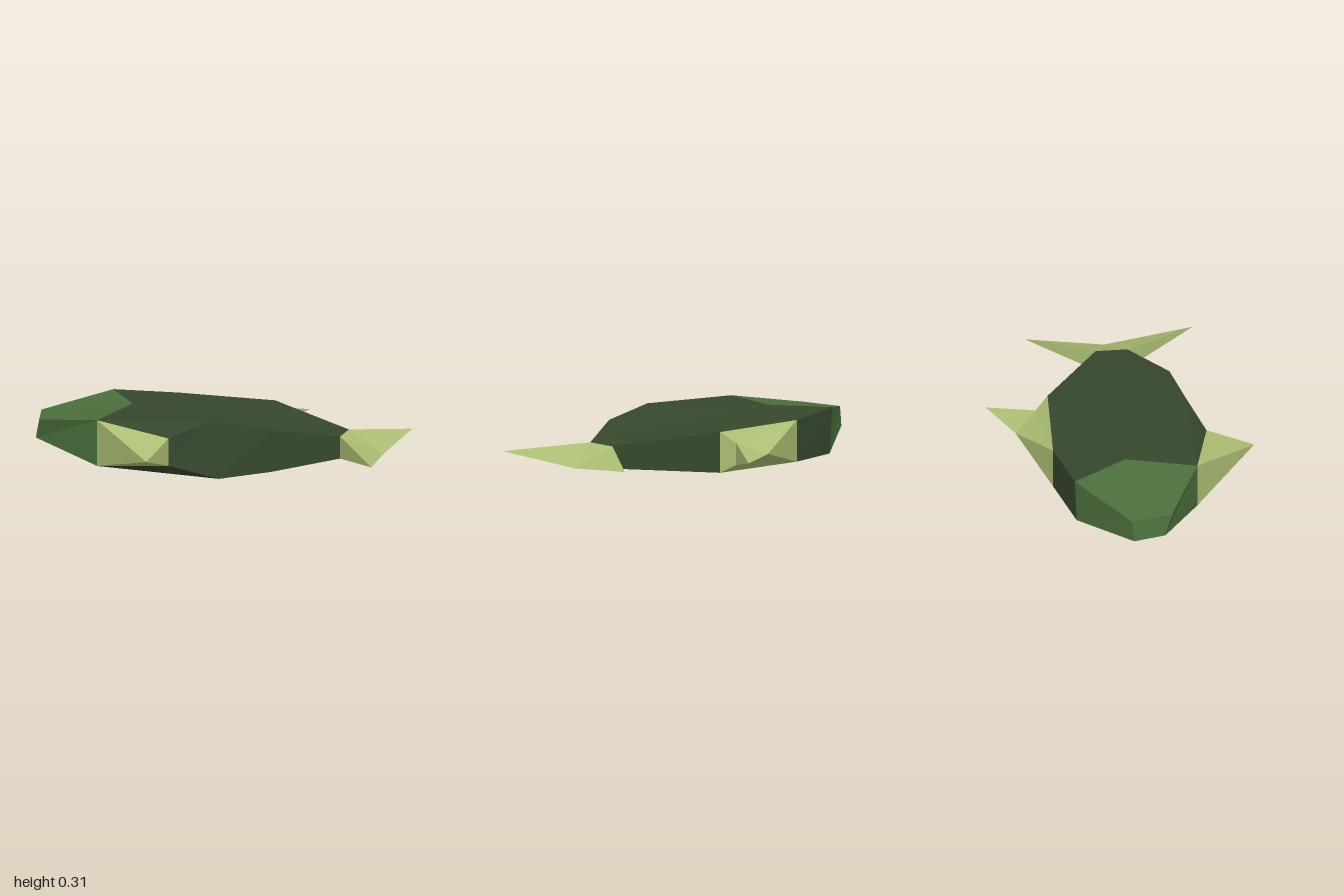
import * as THREE from 'three';

const mat = (name, color) => {
  const m = new THREE.MeshStandardMaterial({ color });
  m.name = name;
  m.flatShading = true;
  return m;
};

// Build a faceted mesh from a list of polygons, each fanned from its first corner
function facets(name, polygons, material) {
  const pos = [];
  for (const p of polygons) {
    for (let i = 1; i < p.length - 1; i++) {
      const [a, b, c] = [p[0], p[i], p[i + 1]].map(v => new THREE.Vector3(...v));
      const area = b.clone().sub(a).cross(c.clone().sub(a)).length();
      if (area > 1e-6) for (const v of [a, b, c]) pos.push(v.x, v.y, v.z);
    }
  }
  const g = new THREE.BufferGeometry();
  g.setAttribute('position', new THREE.Float32BufferAttribute(pos, 3));
  g.computeVertexNormals();
  const mesh = new THREE.Mesh(g, material);
  mesh.name = name;
  return mesh;
}

// Wall between neighbouring corners of the upper and lower outlines
const wall = (T, B, i, j) => [T[i], T[j], B[j], B[i]];

// Fin: outline of [x, z, top y, bottom y], fanned from its first corner
function fin(name, outline, material) {
  const T = outline.map(([x, z, t]) => [x, t, z]);
  const B = outline.map(([x, z, , b]) => [x, b, z]);
  const walls = T.map((_, i) => wall(T, B, i, (i + 1) % T.length));
  const top = [T[0], ...T.slice(1).reverse()];
  return facets(name, [top, B, ...walls], material);
}

export function createModel() {
  const bodyGreen = mat('dark green', 0x36472d);
  const headGreen = mat('leaf green', 0x4b6e3c);
  const finGreen = mat('pale green', 0xacbe74);

  // Upper and lower outlines: nose, back, tail root, belly, chin
  const T = [
    [-0.98, 0.21, -0.05], [-0.66, 0.28, -0.32], [-0.32, 0.265, -0.40], [0.22, 0.265, -0.37],
    [0.715, 0.21, -0.06], [0.715, 0.21, 0.11], [0.39, 0.265, 0.30], [0.06, 0.305, 0.35],
    [-0.14, 0.22, 0.44], [-0.56, 0.27, 0.345], [-0.93, 0.21, 0.17],
  ];
  const B = [
    [-1.0, 0.10, -0.04], [-0.65, 0.03, -0.31], [-0.32, 0.04, -0.40], [0.22, 0.045, -0.37],
    [0.715, 0.09, -0.06], [0.715, 0.09, 0.11], [0.39, 0.04, 0.30], [0.12, 0, 0.37],
    [-0.14, 0.07, 0.44], [-0.56, 0.02, 0.345], [-0.96, 0.10, 0.13],
  ];
  // Gill corner where the head meets the body on each flank
  const gillT = [-0.47, 0.28, -0.03], gillB = [-0.47, 0.025, -0.03];

  // One section: its two flanks and the walls between them
  const section = (name, loop, edges, extra, material) => facets(name, [
    [gillT, ...loop.map(i => T[i]).reverse()],
    [gillB, ...loop.map(i => B[i])],
    ...edges.map(([i, j]) => wall(T, B, i, j)),
    ...extra,
  ], material);

  const group = new THREE.Group();
  group.name = 'fish';
  group.add(
    section('head', [9, 10, 0, 1], [[9, 10], [10, 0], [0, 1]], [], headGreen),
    section('body', [1, 2, 3, 4, 5, 6, 7, 9], [[1, 2], [3, 4], [5, 6], [6, 7], [7, 8]],
      [[T[9], T[8], T[7]], [B[7], B[8], B[9]]], bodyGreen),
    fin('backFin', [
      [0.17, -0.44, 0.21, 0.09], [0.22, -0.37, 0.265, 0.045], [-0.32, -0.40, 0.265, 0.04],
      [0.05, -0.56, 0.15, 0.15], [0.32, -0.69, 0.15, 0.15],
    ], finGreen),
    fin('bellyFin', [
      [-0.14, 0.44, 0.22, 0.07], [-0.19, 0.69, 0.145, 0.145], [-0.56, 0.345, 0.27, 0.02],
    ], finGreen),
    fin('tailFin', [
      [0.93, 0.01, 0.11, 0.11], [0.995, 0.49, 0.148, 0.148], [0.715, 0.11, 0.21, 0.09],
      [0.715, -0.06, 0.21, 0.09], [0.965, -0.41, 0.15, 0.15],
    ], finGreen),
  );
  return group;
}
